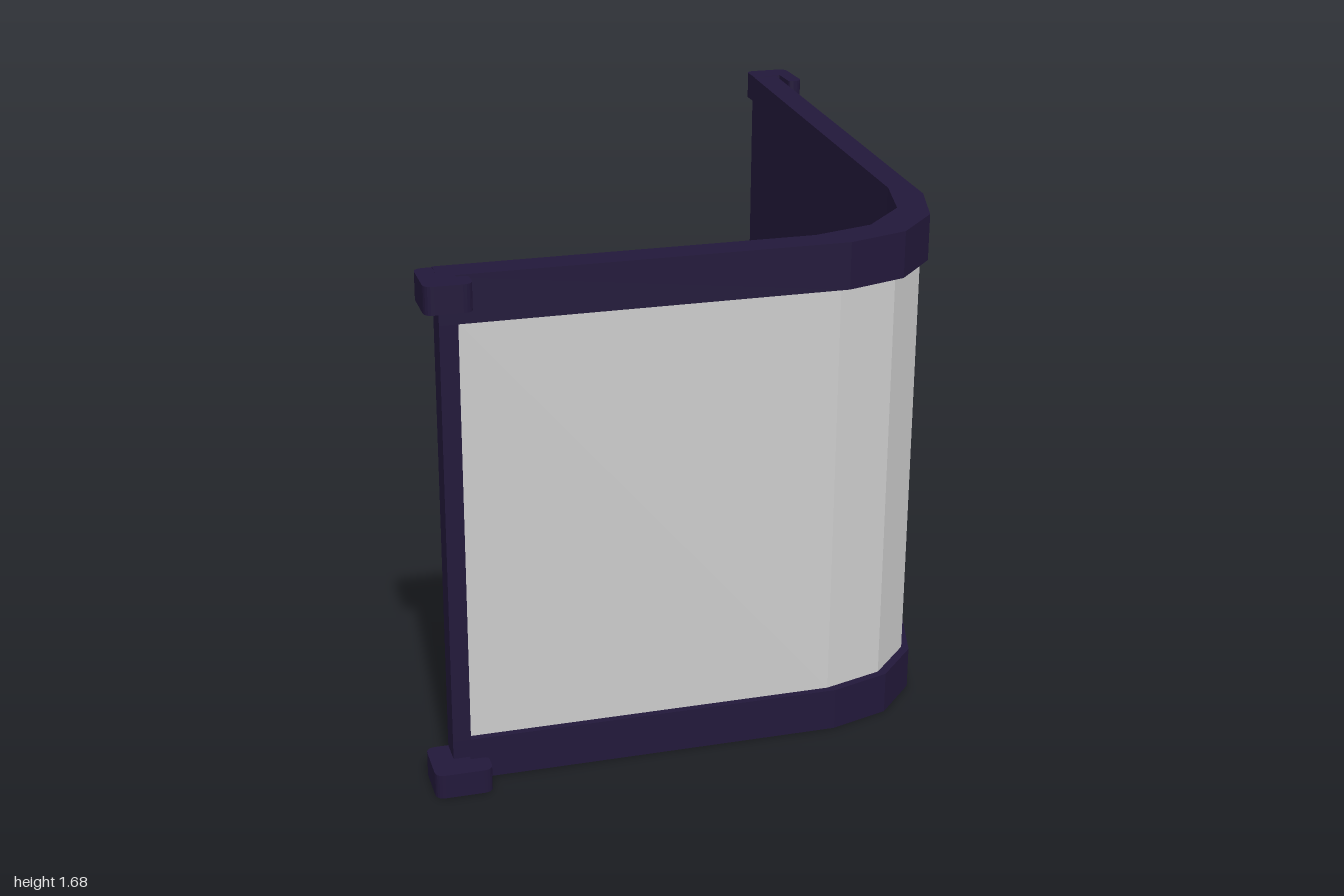
import * as THREE from 'three';

const dark = new THREE.MeshStandardMaterial({ color: 0x22183a, flatShading: true });
const grey = new THREE.MeshStandardMaterial({ color: 0xcccccc, flatShading: true });

// Plan corners [x, z] of the bend, on the outer and the inner side
const OUTER = [[0.4, 0.905], [0.59, 0.85], [0.72, 0.72], [0.775, 0.53]];
const INNER = [[0.32, 0.82], [0.51, 0.77], [0.645, 0.64], [0.69, 0.45]];
const START_X = -0.82, END_Z = -0.905;

// The whole screen climbs gently toward the back
const rise = (z) => Math.max(0, 0.905 - z) * 0.0387;

// Upright prism over a plan shape drawn in (x, -z)
function prism(name, shape, y0, y1, material, sloped = true) {
  const geo = new THREE.ExtrudeGeometry(shape, { depth: y1 - y0, bevelEnabled: false, curveSegments: 5 });
  geo.rotateX(-Math.PI / 2).translate(0, y0, 0);
  if (sloped) {
    const p = geo.attributes.position;
    for (let i = 0; i < p.count; i++) p.setY(i, p.getY(i) + rise(p.getZ(i)));
    geo.computeVertexNormals();
  }
  const mesh = new THREE.Mesh(geo, material);
  mesh.name = name;
  return mesh;
}

// Plan line at depth t through the wall: 0 = outer face, 1 = inner face
function planLine(t, startX, endZ) {
  const bend = OUTER.map(([x, z], i) => [
    THREE.MathUtils.lerp(x, INNER[i][0], t),
    THREE.MathUtils.lerp(z, INNER[i][1], t),
  ]);
  return [[startX, bend[0][1]], ...bend, [bend[3][0], endZ]];
}

// Strip that follows the bend between two depths
function strip(name, t0, t1, y0, y1, startX, endZ, material) {
  const pts = [...planLine(t0, startX, endZ), ...planLine(t1, startX, endZ).reverse()];
  return prism(name, new THREE.Shape(pts.map(([x, z]) => new THREE.Vector2(x, -z))), y0, y1, material);
}

function rectangle(x0, x1, z0, z1) {
  return new THREE.Shape([[x0, z0], [x1, z0], [x1, z1], [x0, z1]].map(([x, z]) => new THREE.Vector2(x, -z)));
}

// Hook plan: u runs out past the rail end, v runs across toward the outer side
function hookShape(toPlan, tip, out, across, slot) {
  const corners = [
    [-0.02, 0, 0], [out, 0, 0.03], [out, across, 0.03], [tip, across, 0.03],
    [tip, 0.1, 0.015], [slot, 0.1, 0], [slot, 0.07, 0], [-0.02, 0.07, 0],
  ];
  const shape = new THREE.Shape();
  const v = corners.map(([a, b]) => new THREE.Vector2(...toPlan(a, b)));
  v.forEach((c, i) => {
    const r = corners[i][2];
    const prev = v[(i + v.length - 1) % v.length], next = v[(i + 1) % v.length];
    const a = c.clone().add(prev.clone().sub(c).setLength(r));
    const b = c.clone().add(next.clone().sub(c).setLength(r));
    if (i === 0) shape.moveTo(a.x, a.y);
    else shape.lineTo(a.x, a.y);
    if (r > 0) shape.quadraticCurveTo(c.x, c.y, b.x, b.y);
  });
  return shape;
}

export function createModel() {
  const model = new THREE.Group();

  // Top and bottom rails
  model.add(strip('bottomRail', 0, 1, 0, 0.135, START_X, END_Z, dark));
  model.add(strip('topRail', 0, 1, 1.46, 1.605, START_X, END_Z, dark));

  // Recessed grey screen and its dark backing
  model.add(strip('screenPanel', 0.24, 0.45, 0.135, 1.46, -0.765, -0.845, grey));
  model.add(strip('backPanel', 0.45, 1, 0.135, 1.46, -0.765, -0.845, dark));

  // End posts
  model.add(prism('frontPost', rectangle(START_X, -0.765, 0.82, 0.905), 0.135, 1.46, dark));
  model.add(prism('backPost', rectangle(0.69, 0.775, END_Z, -0.845), 0.135, 1.46, dark));

  // Hooks that curl round to the outer side at both ends
  const atFront = (u, v) => [START_X - u, -(0.82 + v)];
  const atBack = (u, v) => [0.69 + v, -(END_Z - u)];
  const hooks = [
    ['frontBottomHook', atFront, -0.105, 0.07, 0.175, -0.05, 0, 0.077],
    ['frontTopHook', atFront, -0.085, 0.055, 0.175, -0.05, 1.523, 1.606],
    ['backBottomHook', atBack, -0.155, 0.095, 0.197, -0.01, 0.07, 0.143],
    ['backTopHook', atBack, -0.115, 0.08, 0.15, -0.01, 1.585, 1.676],
  ];
  for (const [name, plan, tip, out, across, slot, y0, y1] of hooks) {
    model.add(prism(name, hookShape(plan, tip, out, across, slot), y0, y1, dark, false));
  }
  return model;
}
